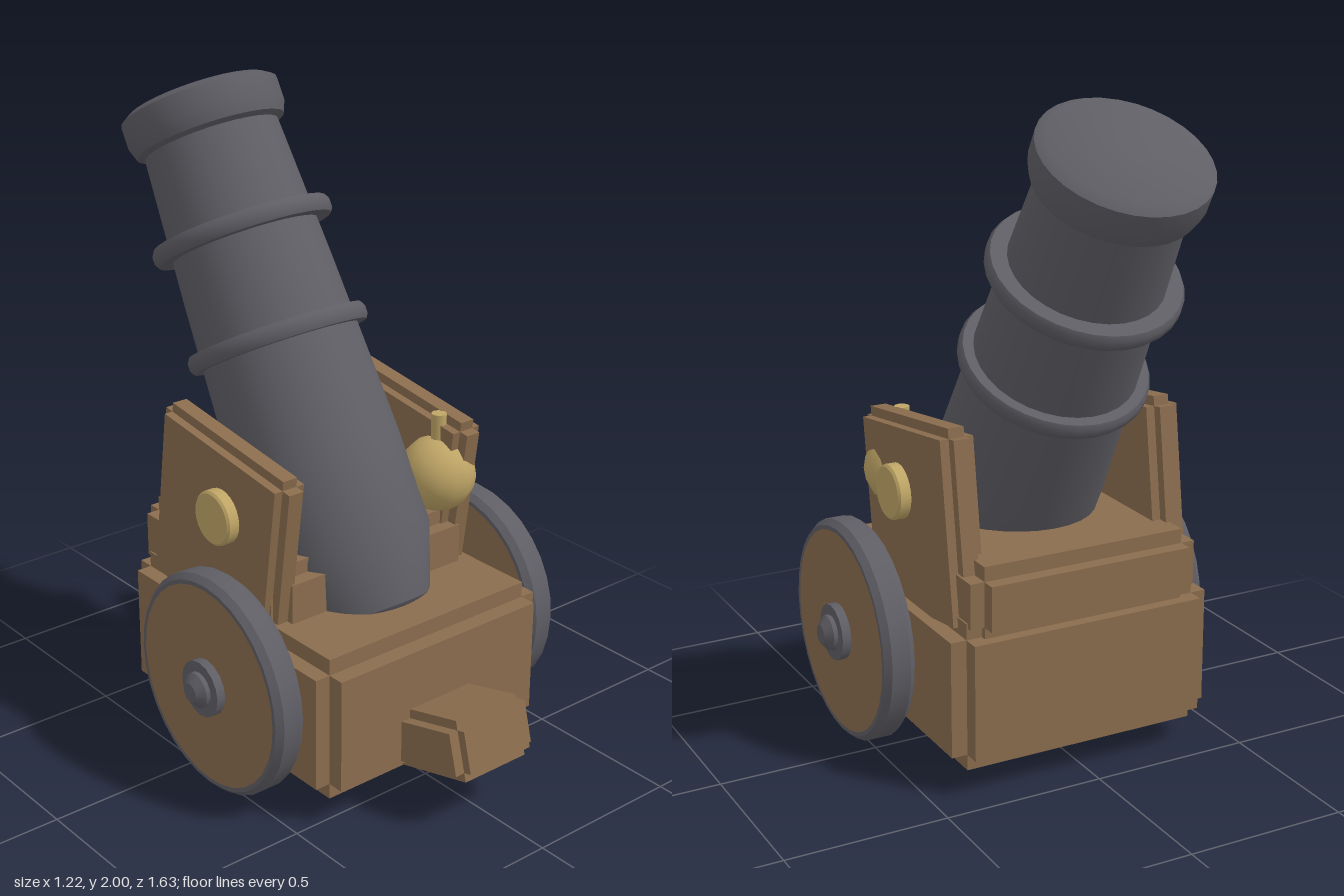
import * as THREE from 'three';
import { toCreasedNormals } from 'three/addons/utils/BufferGeometryUtils.js';

const iron = new THREE.MeshStandardMaterial({ color: 0x5f5e65 });
const wood = new THREE.MeshStandardMaterial({ color: 0x8b6d4e });
const brass = new THREE.MeshStandardMaterial({ color: 0xbfa566 });

function mesh(name, geometry, material, parent) {
  const m = new THREE.Mesh(geometry, material);
  m.name = name;
  parent.add(m);
  return m;
}

// Solid of revolution about y with sharp edges kept
function turned(points, segments) {
  const g = new THREE.LatheGeometry(points.map(([r, y]) => new THREE.Vector2(r, y)), segments);
  return toCreasedNormals(g, 0.6);
}

// Timber block with stepped edges: three boxes, each running full length on some axes.
// w, h, d are the core size; sx, sy, sz the extra on each side.
function steppedBlock(name, [w, h, d], [sx, sy, sz], position, parent) {
  const g = new THREE.Group();
  g.name = name;
  g.position.set(...position);
  mesh(name + 'Sides', new THREE.BoxGeometry(w + 2 * sx, h, d), wood, g);
  mesh(name + 'TopBottom', new THREE.BoxGeometry(w, h + 2 * sy, d), wood, g);
  mesh(name + 'Ends', new THREE.BoxGeometry(w, h, d + 2 * sz), wood, g);
  parent.add(g);
  return g;
}

export function createModel() {
  const root = new THREE.Group();
  root.name = 'cannon';

  // Carriage: lower bed, upper tier, sloping tail
  steppedBlock('carriageBed', [0.76, 0.36, 0.89], [0.05, 0.05, 0.053], [0, 0.3, 0.057], root);
  steppedBlock('upperTier', [0.66, 0.14, 0.63], [0.045, 0.045, 0.045], [0, 0.585, -0.09], root);
  const tail = steppedBlock('tail', [0.236, 0.13, 0.396], [0.032, 0.029, 0.028], [0, 0.206, 0.583], root);
  tail.rotation.x = -0.26;

  // Barrel, measured down from the muzzle along its axis
  const barrel = new THREE.Group();
  barrel.name = 'barrel';
  barrel.position.set(0, 1.886, -0.605);
  barrel.rotation.x = -Math.PI / 6;
  root.add(barrel);
  mesh('barrelTube', turned([
    [0, -1.72], [0.13, -1.71], [0.2, -1.66], [0.265, -1.46], [0.264, -1.16],
    [0.24, -0.6], [0.215, -0.14], [0.238, -0.13], [0.252, -0.09], [0.252, -0.018],
    [0.225, 0], [0, 0],
  ], 32), iron, barrel);
  for (const y of [-0.44, -0.785]) {
    mesh('barrelRing', turned([
      [0.2, -0.027], [0.278, -0.027], [0.287, -0.012], [0.287, 0.012], [0.278, 0.027], [0.2, 0.027],
    ], 32), iron, barrel).position.y = y;
  }

  for (const s of [-1, 1]) {
    const side = s > 0 ? 'left' : 'right';

    // Tilted cheek panel
    const cheek = steppedBlock(side + 'Cheek', [0.05, 0.55, 0.54], [0.028, 0.03, 0.032],
      [s * 0.342, 0.735, -0.03], root);
    cheek.rotation.x = 0.138;

    // Trunnion cap
    const cap = mesh(side + 'TrunnionCap', turned([
      [0, 0], [0.085, 0], [0.085, 0.13], [0.078, 0.137], [0, 0.137],
    ], 24), brass, root);
    cap.position.set(s * 0.298, 0.81, 0.02);
    cap.rotation.z = -s * Math.PI / 2;

    // Wheel: wooden disc, iron tyre, hub
    const wheel = new THREE.Group();
    wheel.name = side + 'Wheel';
    wheel.position.set(s * 0.5, 0.345, 0.14);
    wheel.rotation.z = -s * Math.PI / 2;
    root.add(wheel);
    mesh('wheelDisc', turned([
      [0, -0.048], [0.322, -0.048], [0.322, 0.048], [0, 0.048],
    ], 32), wood, wheel);
    mesh('wheelTyre', turned([
      [0.315, -0.05], [0.328, -0.05], [0.345, -0.03], [0.345, 0.03], [0.328, 0.05], [0.315, 0.05],
    ], 32), iron, wheel);
    mesh('wheelHub', turned([
      [0, -0.12], [0.088, -0.12], [0.088, 0.076], [0.055, 0.076], [0.055, 0.09],
      [0.03, 0.112], [0, 0.112],
    ], 16), iron, wheel);
  }

  // Brass ball with a knob, set into the left cheek
  const ball = new THREE.Group();
  ball.name = 'brassBall';
  ball.position.set(0.3, 0.815, 0.198);
  root.add(ball);
  mesh('ballBody', new THREE.SphereGeometry(0.12, 14, 10), brass, ball);
  mesh('ballKnob', new THREE.CylinderGeometry(0.024, 0.024, 0.1, 10), brass, ball).position.y = 0.147;

  return root;
}
